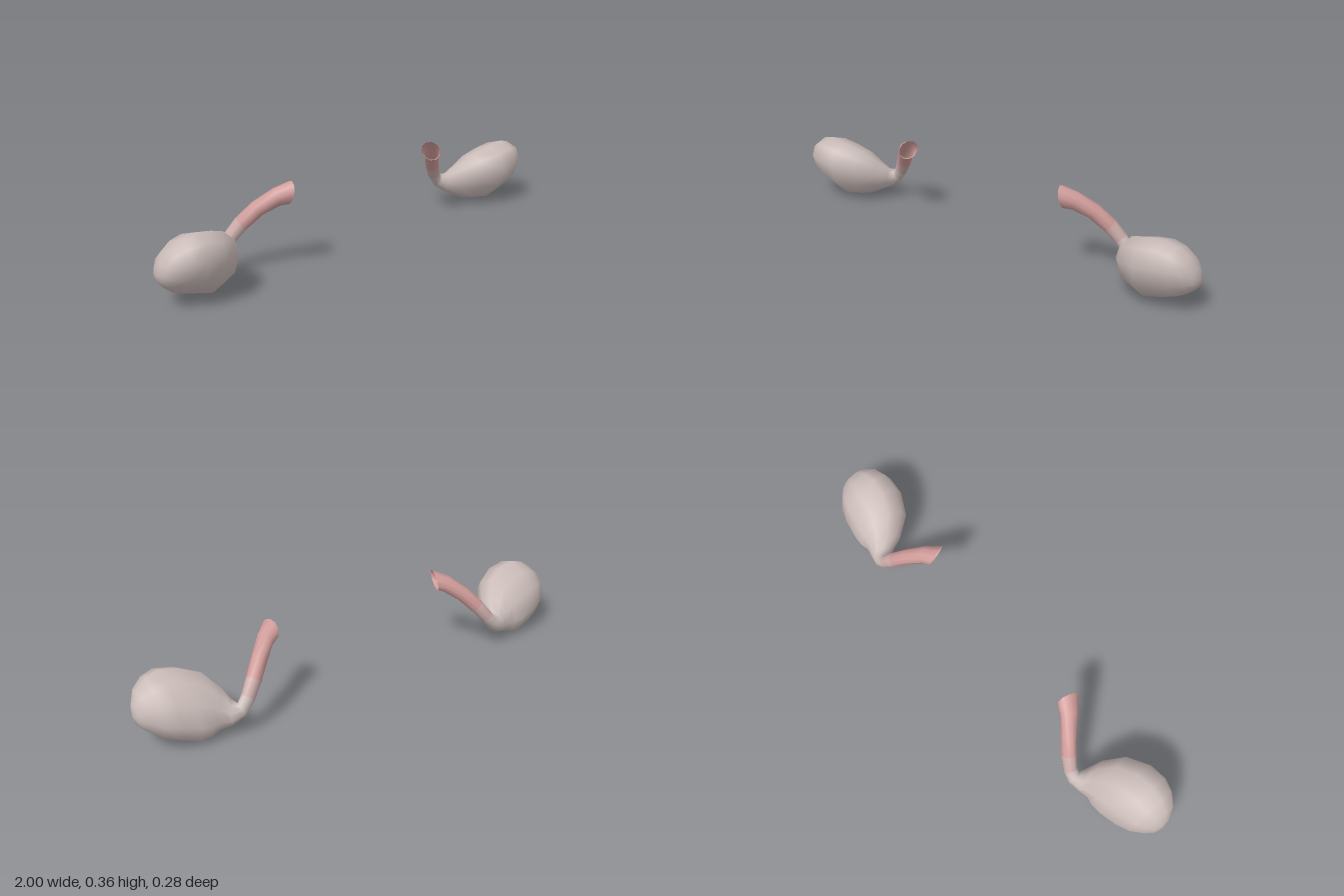
import * as THREE from 'three';

const SIDES = 10;

// Rings from the open stalk tip to the outer end of the sac:
// [centre x, y, z,  normal x, y, z,  half-axis a, half-axis b]
const RINGS = [
  [0.405, 0.32, 0.026, -0.92, -0.21, 0.32, 0.047, 0.044],
  [0.445, 0.304, -0.004, -0.78, 0.3, 0.5, 0.036, 0.036],
  [0.5, 0.26, -0.052, -0.62, 0.6, 0.48, 0.032, 0.032],
  [0.55, 0.203, -0.09, -0.62, 0.68, 0.4, 0.031, 0.031],
  [0.59, 0.15, -0.113, -0.68, 0.68, 0.22, 0.028, 0.028],
  [0.62, 0.112, -0.117, -0.82, 0.45, -0.15, 0.029, 0.028],
  [0.65, 0.1, -0.096, -0.8, 0.05, -0.5, 0.05, 0.04],
  [0.68, 0.11, -0.058, -0.87, -0.1, -0.4, 0.085, 0.065],
  [0.725, 0.127, -0.024, -0.97, -0.05, -0.2, 0.13, 0.093],
  [0.79, 0.138, 0, -1, 0, 0, 0.153, 0.108],
  [0.865, 0.157, 0.008, -1, 0, 0, 0.147, 0.104],
  [0.92, 0.162, 0.01, -1, 0, 0, 0.125, 0.09],
  [0.965, 0.164, 0.012, -1, 0, 0, 0.085, 0.064],
  [0.99, 0.155, 0.008, -1, 0, 0, 0.044, 0.034],
];
const BLEND_START = 3, BLEND_END = 4; // ring span where the stalk turns from pink to grey

function organGeometry(side) {
  const pos = [], index = [];
  for (const [x, y, z, nx, ny, nz, a, b] of RINGS) {
    const n = new THREE.Vector3(nx, ny, nz).normalize();
    const u = new THREE.Vector3(0, 1, 1).projectOnPlane(n).normalize();
    const v = new THREE.Vector3().crossVectors(n, u);
    for (let j = 0; j < SIDES; j++) {
      const t = (j / SIDES) * Math.PI * 2;
      const p = new THREE.Vector3(x, y, z)
        .addScaledVector(u, a * Math.cos(t))
        .addScaledVector(v, b * Math.sin(t));
      pos.push(p.x * side, p.y, p.z);
    }
  }
  // Outer pole closes the sac
  pos.push(side, 0.15, 0.006);
  const pole = RINGS.length * SIDES;
  const face = (a, b, c) => (side > 0 ? index.push(a, b, c) : index.push(a, c, b));
  for (let i = 0; i < RINGS.length; i++) {
    for (let j = 0; j < SIDES; j++) {
      const a = i * SIDES + j, b = i * SIDES + ((j + 1) % SIDES);
      if (i === RINGS.length - 1) face(a, pole, b);
      else {
        face(a, a + SIDES, b);
        face(b, a + SIDES, b + SIDES);
      }
    }
  }
  const g = new THREE.BufferGeometry();
  g.setAttribute('position', new THREE.Float32BufferAttribute(pos, 3));
  g.setIndex(index);
  g.computeVertexNormals();
  // Colour groups: stalk, short transition, sac
  const per = SIDES * 6;
  g.addGroup(0, BLEND_START * per, 0);
  g.addGroup(BLEND_START * per, (BLEND_END - BLEND_START) * per, 1);
  g.addGroup(BLEND_END * per, index.length - BLEND_END * per, 2);
  return g;
}

export function createModel() {
  const material = (name, color) => {
    const m = new THREE.MeshStandardMaterial({ color, side: THREE.DoubleSide });
    m.name = name;
    return m;
  };
  const materials = [
    material('stalk pink', 0xd09c9a),
    material('transition pink grey', 0xcbaba8),
    material('sac grey', 0xc9bbb8),
  ];

  const model = new THREE.Group();
  model.name = 'pairedSacs';
  for (const side of [1, -1]) {
    const mesh = new THREE.Mesh(organGeometry(side), materials);
    mesh.name = side > 0 ? 'leftSacAndStalk' : 'rightSacAndStalk';
    model.add(mesh);
  }
  return model;
}
